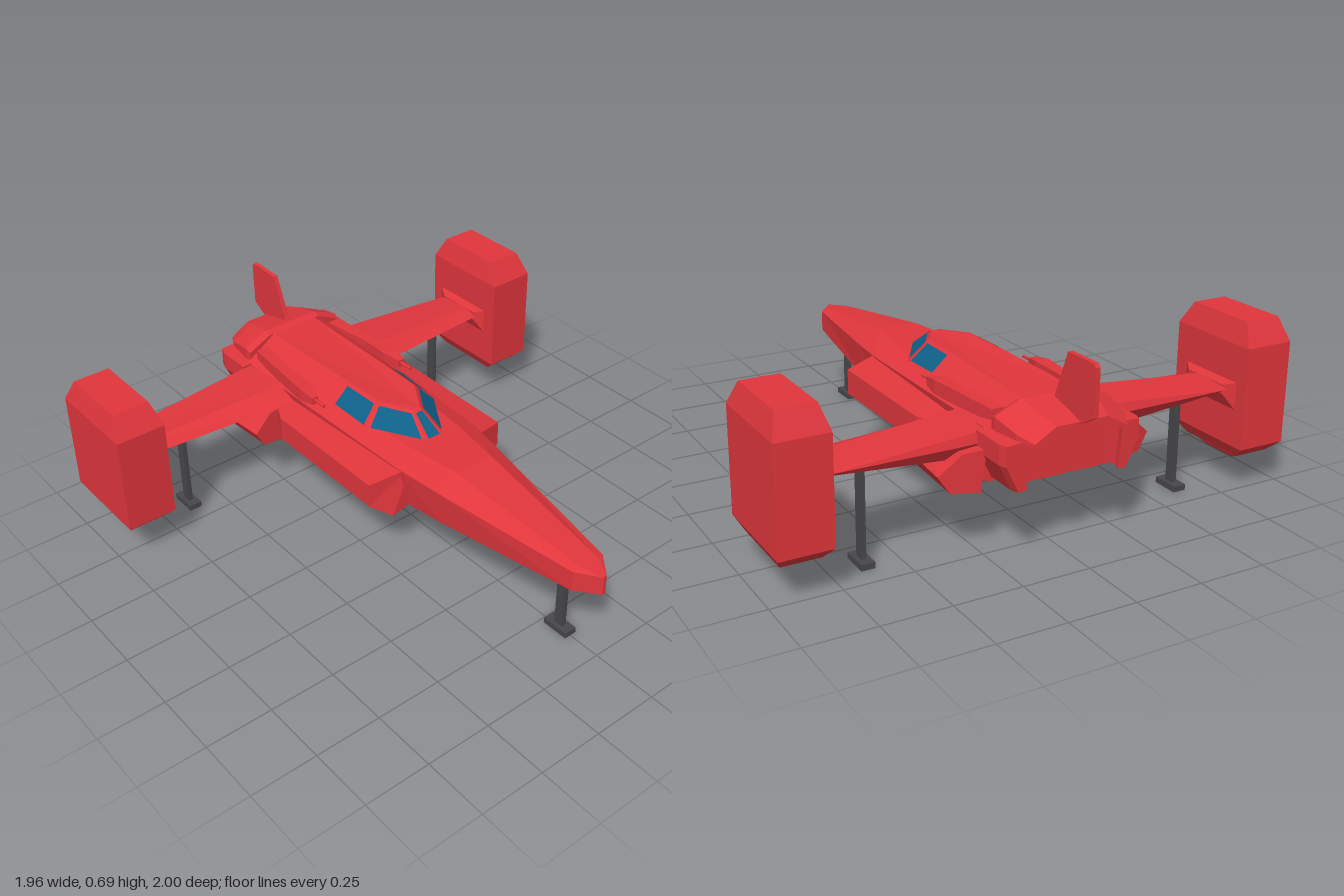
import * as THREE from 'three';

const mat = (color) => new THREE.MeshStandardMaterial({ color, flatShading: true });

// Closed solid lofted through rings of equal length; faces are turned outward.
function loft(rings) {
  const tris = [];
  const n = rings[0].length;
  for (let r = 0; r < rings.length - 1; r++) {
    for (let i = 0; i < n; i++) {
      const j = (i + 1) % n;
      const a = rings[r][i], b = rings[r][j], c = rings[r + 1][j], d = rings[r + 1][i];
      tris.push([a, b, c], [a, c, d]);
    }
  }
  const first = rings[0], last = rings[rings.length - 1];
  for (let i = 1; i < n - 1; i++) {
    tris.push([first[0], first[i + 1], first[i]], [last[0], last[i], last[i + 1]]);
  }
  const o = new THREE.Vector3(...first[0]);
  let volume = 0;
  for (const t of tris) {
    const [a, b, c] = t.map((p) => new THREE.Vector3(...p).sub(o));
    volume += a.dot(b.cross(c));
  }
  const pos = tris.flatMap((t) => (volume < 0 ? [t[0], t[2], t[1]] : t)).flat();
  const g = new THREE.BufferGeometry();
  g.setAttribute('position', new THREE.Float32BufferAttribute(pos, 3));
  g.computeVertexNormals();
  return g;
}

const flip = (rings, s) => rings.map((ring) => ring.map(([x, y, z]) => [x * s, y, z]));
const atZ = (z, pts) => pts.map(([x, y]) => [x, y, z]);
// Symmetric section: right half listed from top to bottom.
const fullZ = (z, half) => atZ(z, [...half, ...half.slice().reverse().map(([x, y]) => [-x, y])]);
// Horizontal rectangle given its limits in x and z.
const rectY = (y, x0, x1, z0, z1) => [[x0, y, z0], [x1, y, z0], [x1, y, z1], [x0, y, z1]];

export function createModel() {
  const model = new THREE.Group();
  const red = mat(0xe0363c), blue = mat(0x0f6088), grey = mat(0x48484c);
  blue.side = THREE.DoubleSide;

  const add = (name, geometry, material = red) => {
    const mesh = new THREE.Mesh(geometry, material);
    mesh.name = name;
    model.add(mesh);
    return mesh;
  };
  const box = (name, x, y, z, w, h, d, material = red) => {
    const mesh = add(name, new THREE.BoxGeometry(w, h, d), material);
    mesh.position.set(x, y, z);
    return mesh;
  };
  const pair = (name, rings) => {
    add(name + 'Left', loft(rings));
    add(name + 'Right', loft(flip(rings, -1)));
  };

  // Fuselage with long tapering nose
  add('fuselage', loft([
    fullZ(1, [[0.004, 0.36], [0.006, 0.355], [0.006, 0.28]]),
    fullZ(0.92, [[0.04, 0.37], [0.07, 0.36], [0.07, 0.28]]),
    fullZ(0.35, [[0.08, 0.443], [0.165, 0.392], [0.15, 0.254]]),
    fullZ(0.15, [[0.11, 0.445], [0.195, 0.405], [0.17, 0.245]]),
    fullZ(-0.4, [[0.15, 0.455], [0.22, 0.42], [0.18, 0.24]]),
    fullZ(-0.74, [[0.17, 0.47], [0.23, 0.43], [0.19, 0.25]]),
  ]));

  // Side intake bodies
  const pod = [[0.15, 0.4], [0.19, 0.4], [0.31, 0.375], [0.31, 0.28], [0.23, 0.22], [0.15, 0.24]];
  pair('sideBody', [
    pod.map(([x, y]) => [x, y, x > 0.3 ? 0.145 : 0.18]),
    atZ(-0.4, pod.map(([x, y]) => [x, Math.max(y, 0.24)])),
    atZ(-0.48, pod.map(([x, y]) => [Math.min(x, 0.27), Math.max(y, 0.24)])),
    atZ(-0.74, pod.map(([x, y]) => [Math.min(x, 0.27), Math.max(y, 0.25)])),
  ]);

  // Nacelles below the wing roots
  const nacelle = [[0.25, 0.38], [0.33, 0.37], [0.41, 0.3], [0.37, 0.24], [0.27, 0.23]];
  pair('underwingNacelle', [
    atZ(-0.46, nacelle.map(([x, y]) => [0.25 + (x - 0.25) * 0.85, y])),
    nacelle.map(([x, y]) => [x, y, -0.77 + (x - 0.25) * 0.22]),
  ]);

  // Wings: leading edge, ridge, trailing edge, underside
  const wing = (x, front, ridge, back, top, mid, bottom) => [
    [x, mid, front], [x, top, ridge], [x, top - 0.008, back + 0.01], [x, mid, back],
    [x, bottom, back + 0.03], [x, bottom, ridge],
  ];
  pair('wing', [
    wing(0.18, -0.44, -0.53, -0.735, 0.435, 0.39, 0.33),
    wing(0.33, -0.46, -0.535, -0.73, 0.425, 0.385, 0.335),
    wing(0.77, -0.5, -0.565, -0.71, 0.397, 0.378, 0.36),
  ]);
  const joint = (x, y0, y1, z0, z1) => [[x, y0, z0], [x, y1, z0], [x, y1, z1], [x, y0, z1]];
  pair('wingJoint', [
    joint(0.765, 0.36, 0.396, -0.7, -0.51),
    joint(0.795, 0.3, 0.415, -0.75, -0.46),
  ]);

  // Wingtip engine pods with bevelled ends and a lower vent
  pair('wingtipPod', [
    rectY(0.635, 0.815, 0.955, -0.745, -0.46),
    rectY(0.55, 0.79, 0.98, -0.79, -0.41),
    rectY(0.17, 0.79, 0.98, -0.79, -0.41),
    rectY(0.125, 0.815, 0.955, -0.74, -0.46),
  ]);
  pair('wingtipVent', [
    rectY(0.13, 0.845, 0.925, -0.7, -0.5),
    rectY(0.105, 0.845, 0.925, -0.7, -0.5),
    rectY(0.088, 0.86, 0.91, -0.67, -0.53),
  ]);

  // Canopy and dorsal spine: base and roof outlines, front to back
  const base = [[0.04, 0.435, 0.145], [0.165, 0.44, -0.06], [0.17, 0.45, -0.26], [0.18, 0.46, -0.74]];
  const roof = [[0.018, 0.515, 0.03], [0.085, 0.522, -0.08], [0.09, 0.522, -0.26], [0.1, 0.515, -0.74]];
  const outline = (pts) => [...pts, ...pts.slice().reverse().map(([x, y, z]) => [-x, y, z])];
  add('canopySpine', loft([outline(base), outline(roof)]));

  // Windows laid a hair above the canopy facets
  const pane = (name, a, b, c, d) => {
    const [A, B, C, D] = [a, b, c, d].map((p) => new THREE.Vector3(...p));
    const mid = A.clone().add(B).add(C).add(D).multiplyScalar(0.25);
    const normal = B.clone().sub(A).cross(D.clone().sub(A)).normalize();
    if (normal.y < 0) normal.negate();
    const at = (u, v) => A.clone().lerp(B, u).lerp(D.clone().lerp(C, u), v).addScaledVector(normal, 0.004);
    const m = Math.min(0.16, 0.011 / A.distanceTo(B) + 0.02);
    const q = [at(m, 0.1), at(1 - m, 0.1), at(1 - m, 0.86), at(m, 0.86)];
    if (q[1].clone().sub(q[0]).cross(q[2].clone().sub(q[0])).dot(mid.setY(1)) < 0) q.reverse();
    const g = new THREE.BufferGeometry().setFromPoints([q[0], q[1], q[2], q[0], q[2], q[3]]);
    g.computeVertexNormals();
    add(name, g, blue);
  };
  const mirror = ([x, y, z]) => [-x, y, z];
  pane('windscreen', mirror(base[0]), base[0], roof[0], mirror(roof[0]));
  for (let i = 0; i < 2; i++) {
    const q = [base[i], base[i + 1], roof[i + 1], roof[i]];
    pane('sideWindowLeft', ...q);
    pane('sideWindowRight', ...q.map(mirror));
  }

  // Guns beside the spine
  const gun = (z, x0, x1, y0, y1) => atZ(z, [[x0, y0], [x1, y0], [x1, y1], [x0, y1]]);
  pair('gunBody', [
    gun(-0.31, 0.195, 0.222, 0.445, 0.475),
    gun(-0.38, 0.175, 0.23, 0.435, 0.487),
    gun(-0.5, 0.175, 0.22, 0.435, 0.487),
    gun(-0.71, 0.15, 0.2, 0.44, 0.485),
  ]);
  for (const s of [-1, 1]) {
    const barrel = add('gunBarrel', new THREE.CylinderGeometry(0.007, 0.007, 0.08, 6));
    barrel.rotation.x = Math.PI / 2;
    barrel.position.set(s * 0.208, 0.462, -0.295);
  }

  // Rear engine deck, sloping toward the tail
  const deck = (z, w, y0, y1) => fullZ(z, [[w * 0.55, y1], [w, y1 - 0.045], [w, y0]]);
  add('engineDeck', loft([
    deck(-0.735, 0.215, 0.42, 0.515),
    deck(-0.76, 0.22, 0.42, 0.525),
    deck(-0.87, 0.205, 0.425, 0.5),
    deck(-0.93, 0.175, 0.435, 0.482),
  ]));

  // Exhaust block with nozzles and splayed side plates
  box('exhaustBlock', 0, 0.345, -0.76, 0.38, 0.17, 0.12);
  for (const x of [-0.12, 0, 0.12]) {
    const w = x ? 0.075 : 0.1;
    add('exhaustNozzle', loft([
      atZ(-0.8, [[x - w / 2, 0.28], [x + w / 2, 0.28], [x + w / 2, 0.42], [x - w / 2, 0.42]]),
      atZ(-0.87, [[x - w * 0.4, 0.3], [x + w * 0.4, 0.3], [x + w * 0.4, 0.41], [x - w * 0.4, 0.41]]),
    ]));
  }
  const plate = [[0.185, 0.27], [0.215, 0.265], [0.262, 0.36], [0.262, 0.43], [0.2, 0.435]];
  pair('exhaustSidePlate', [atZ(-0.72, plate), atZ(-0.86, plate), atZ(-0.89, plate.map(([x, y]) => [x - 0.01, y]))]);

  // Tail fin
  const fin = [[-0.77, 0.49], [-0.79, 0.53], [-0.85, 0.69], [-0.99, 0.692], [-1, 0.68], [-1, 0.515], [-0.93, 0.475]];
  add('tailFin', loft([-0.009, 0.009].map((x) => fin.map(([z, y]) => [x, y, z]))));

  // Landing gear
  for (const [x, z, top] of [[0, 0.82, 0.29], [0.625, -0.615, 0.37], [-0.625, -0.615, 0.37]]) {
    box('gearStrut', x, top / 2 + 0.005, z, 0.018, top - 0.01, 0.038, grey);
    box('gearFoot', x, 0.011, z, 0.05, 0.022, 0.106, grey);
  }
  return model;
}
